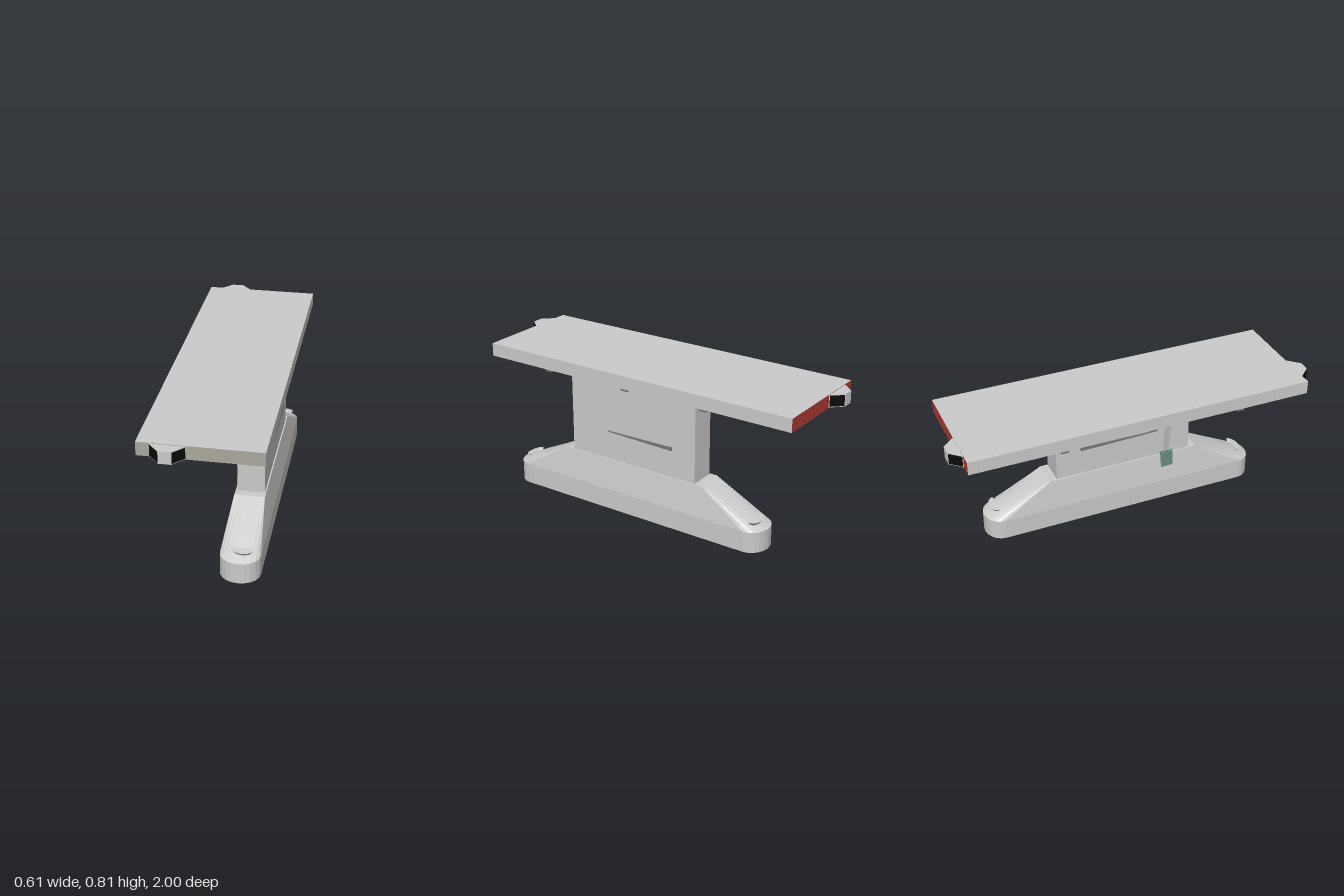
import * as THREE from 'three';

const material = (color = 0xcccccc) =>
  new THREE.MeshStandardMaterial({ color, flatShading: true, side: THREE.DoubleSide });
const grey = material();
const dark = material(0x24231f);
const black = material(0x0a0a0a);
const olive = material(0xaaa79c);
const red = material(0xb03c36);
const green = material(0x6a8f85);
const amber = material(0xb57b25);
const steel = material(0x777777);

function add(parent, name, geometry, mat) {
  const mesh = new THREE.Mesh(geometry, mat);
  mesh.name = name;
  parent.add(mesh);
  return mesh;
}

// Box given by its lower and upper limits on each axis
function box(parent, name, [x0, x1], [y0, y1], [z0, z1], mat = grey) {
  const mesh = add(parent, name, new THREE.BoxGeometry(x1 - x0, y1 - y0, z1 - z0), mat);
  mesh.position.set((x0 + x1) / 2, (y0 + y1) / 2, (z0 + z1) / 2);
  return mesh;
}

const CX = 0.159, CZ = 0.045; // centre of the pedestal
const ARC = 10;

// Round-ended outline; endDepth 0 gives a rectangle with the same point count
function outline(y, halfWidth, halfLength, endDepth) {
  const points = [];
  for (const end of [1, -1]) {
    for (let i = 0; i <= ARC; i++) {
      const a = (i / ARC) * Math.PI;
      points.push([
        CX + end * halfWidth * Math.cos(a), y,
        CZ + end * (halfLength - endDepth + endDepth * Math.sin(a)),
      ]);
    }
  }
  return points;
}

// Skin between successive outlines
function loft(rings) {
  const n = rings[0].length, index = [];
  for (let r = 0; r < rings.length - 1; r++) {
    for (let i = 0; i < n; i++) {
      const a = r * n + i, b = r * n + (i + 1) % n;
      index.push(a, a + n, b, b, a + n, b + n);
    }
  }
  const geometry = new THREE.BufferGeometry();
  geometry.setAttribute('position', new THREE.Float32BufferAttribute(rings.flat(2), 3));
  geometry.setIndex(index);
  const flat = geometry.toNonIndexed();
  flat.computeVertexNormals();
  return flat;
}

function createBase() {
  const base = new THREE.Group();
  base.name = 'base';

  // Open shell: round-ended foot, sloped shoulder
  add(base, 'footAndShoulder', loft([
    outline(0, 0.104, 0.8, 0.09),
    outline(0.115, 0.104, 0.8, 0.09),
    outline(0.283, 0.079, 0.435, 0),
  ]), grey);
  box(base, 'shoulderTop', [0.08, 0.238], [0.279, 0.283], [-0.39, 0.48]);

  // Inner lip seen from beneath
  add(base, 'innerLip', loft([
    outline(0.085, 0.102, 0.798, 0.09),
    outline(0.085, 0.078, 0.76, 0.075),
    outline(0.105, 0.074, 0.755, 0.075),
  ]), steel);

  // Crescent lug on each end slope
  for (const end of [1, -1]) {
    const lug = add(base, 'endLug',
      new THREE.CylinderGeometry(0.062, 0.045, 0.022, 12, 1, false, -Math.PI / 2, Math.PI), grey);
    lug.scale.z = 0.65;
    lug.position.set(0.172, 0.148, CZ + end * 0.722);
    lug.rotation.set(end * 0.15, end > 0 ? 0 : Math.PI, 0);
  }
  return base;
}

function createColumn() {
  const column = new THREE.Group();
  column.name = 'column';
  box(column, 'columnBody', [0.09, 0.231], [0.283, 0.73], [-0.35, 0.44]);

  // Mounting plates under the top
  for (const z of [0.373, -0.283]) {
    box(column, 'mountingPlate', [0.055, 0.262], [0.724, 0.732], [z - 0.103, z + 0.103], steel);
    box(column, 'mountingSpacer', [0.12, 0.195], [0.732, 0.741], [z - 0.08, z + 0.08], steel);
  }

  // Tapering side handles
  const profile = new THREE.Shape([
    new THREE.Vector2(-0.21, 0.434), new THREE.Vector2(0.2, 0.443),
    new THREE.Vector2(0.2, 0.447), new THREE.Vector2(-0.21, 0.453),
  ]);
  for (const x of [0.088, 0.238]) {
    const handle = add(column, 'sideHandle',
      new THREE.ExtrudeGeometry(profile, { depth: 0.008, bevelEnabled: false }), steel);
    handle.rotation.y = -Math.PI / 2;
    handle.position.x = x;
  }
  return column;
}

// Lever, pocket and knob on one side of the column
function createLever() {
  const lever = new THREE.Group();
  lever.name = 'leverAssembly';
  const from = new THREE.Vector3(0.011, 0.727, 0.3), to = new THREE.Vector3(0.085, 0.3, 0.3);
  const bar = add(lever, 'leverBar', new THREE.BoxGeometry(0.02, from.distanceTo(to), 0.025), grey);
  bar.position.lerpVectors(from, to, 0.5);
  bar.rotation.z = Math.atan2(to.x - from.x, from.y - to.y);
  box(lever, 'leverPocket', [0.068, 0.095], [0.16, 0.296], [0.265, 0.335], green);
  box(lever, 'knobStem', [0.075, 0.09], [0.296, 0.308], [0.29, 0.31], dark);
  const knob = add(lever, 'leverKnob', new THREE.CylinderGeometry(0.004, 0.009, 0.018, 8), amber);
  knob.position.set(0.082, 0.315, 0.3);
  return lever;
}

// Tapered housing at one end of the top, with dark angled windows
function createEndHousing() {
  const housing = new THREE.Group();
  housing.name = 'endHousing';
  const outer = [[-0.087, 0], [-0.03, 0.062], [0.03, 0.062], [0.087, 0]];
  const shape = new THREE.Shape(outer.map(([x, z]) => new THREE.Vector2(x, -z)));
  const body = add(housing, 'housingBody',
    new THREE.ExtrudeGeometry(shape, { depth: 0.066, bevelEnabled: false }), grey);
  body.rotation.x = -Math.PI / 2;
  body.position.y = 0.746;
  for (const side of [1, -1]) {
    const pane = add(housing, 'housingWindow', new THREE.BoxGeometry(0.076, 0.058, 0.003), black);
    pane.position.set(side * 0.0585, 0.779, 0.031);
    pane.rotation.y = side * Math.atan2(0.062, 0.057);
  }
  return housing;
}

function createTop() {
  const top = new THREE.Group();
  top.name = 'tableTop';
  // Face order: +x, -x, top, underside, front, back
  box(top, 'slab', [-0.305, 0.305], [0.742, 0.814], [-0.938, 0.935],
    [grey, grey, grey, dark, olive, red]);

  // Rails beneath the slab
  for (const z of [-0.44, 0.04, 0.54])
    box(top, 'crossRail', [-0.305, 0.305], [0.732, 0.742], [z - 0.021, z + 0.021], steel);
  for (const [z0, z1] of [[-0.86, -0.47], [0.57, 0.86]])
    box(top, 'wideRunner', [0.12, 0.2], [0.738, 0.743], [z0, z1], steel);
  box(top, 'thinRunner', [0.013, 0.027], [0.737, 0.743], [-0.89, 0.89], steel);

  for (const end of [1, -1]) {
    const housing = createEndHousing();
    housing.position.set(-0.153, 0, end > 0 ? 0.937 : -0.938);
    housing.rotation.y = end > 0 ? 0 : Math.PI;
    top.add(housing);
  }
  return top;
}

export function createModel() {
  const model = new THREE.Group();
  model.name = 'pedestalTable';
  model.add(createBase(), createColumn(), createLever(), createTop());
  return model;
}
